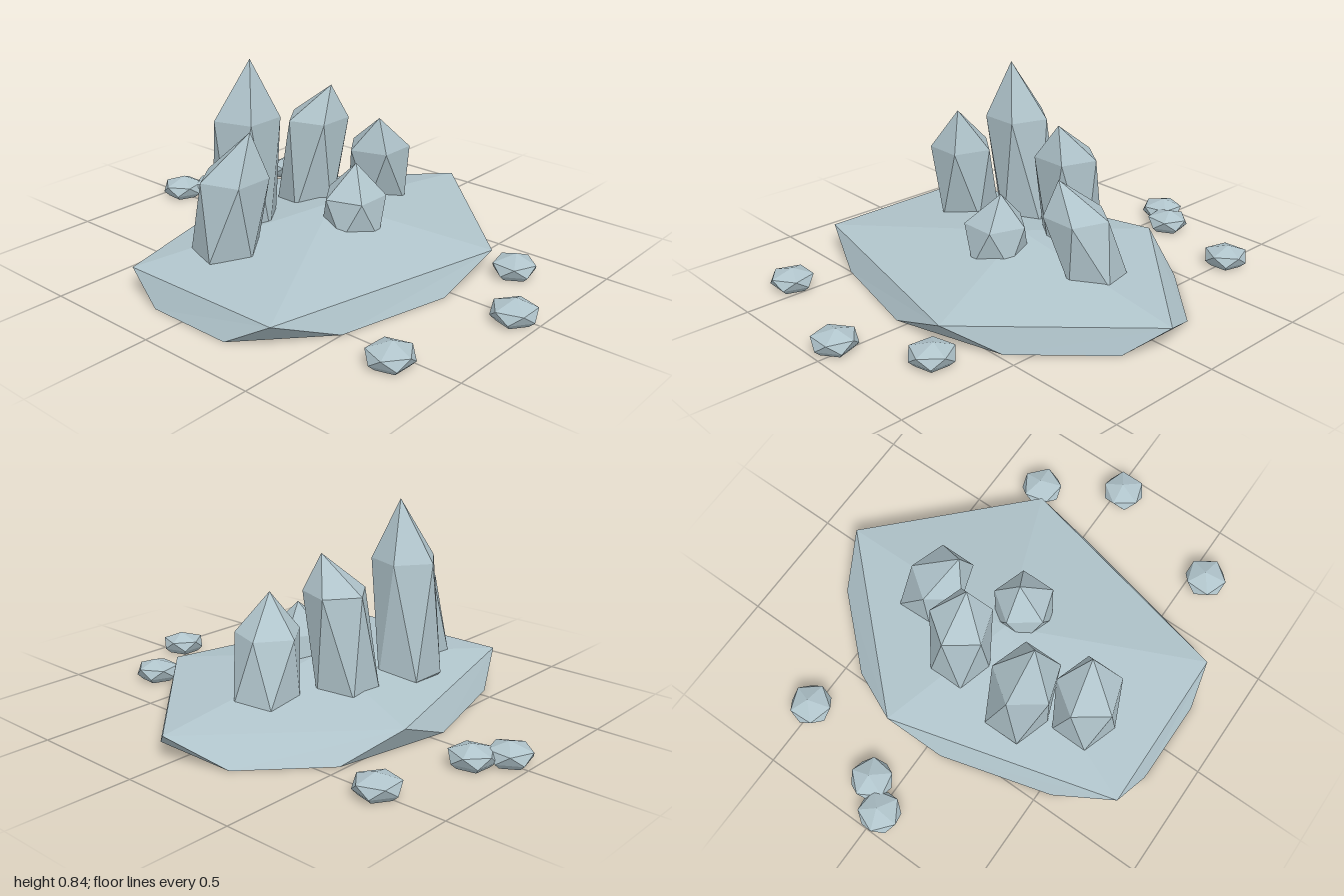
import * as THREE from 'three';

const stone = new THREE.MeshStandardMaterial({ color: 0xb0c4cb, flatShading: true, side: THREE.DoubleSide });
stone.name = 'pale stone';
const teal = new THREE.MeshStandardMaterial({ color: 0x07606c, flatShading: true });
teal.name = 'dark teal';

// Faceted mesh from a list of triangles, each three [x, y, z] points
function facetMesh(name, tris) {
  const geo = new THREE.BufferGeometry();
  geo.setAttribute('position', new THREE.Float32BufferAttribute(tris.flat(2), 3));
  geo.computeVertexNormals();
  const mesh = new THREE.Mesh(geo, stone);
  mesh.name = name;
  return mesh;
}

// Five-sided ring, turned by a number of degrees
function ring([x, y, z], r, deg) {
  return Array.from({ length: 5 }, (_, i) => {
    const t = THREE.MathUtils.degToRad(deg + i * 72);
    return [x + r * Math.cos(t), y, z + r * Math.sin(t)];
  });
}

// Stretched twenty-sided stone, open where its lower end is cut off
function shard(name, { tip, upper, lower, foot, r, footR, turn }) {
  const u = ring(upper, r, turn);
  const l = ring(lower, r, turn + 36);
  const f = ring(foot, footR, turn + 36);
  const tris = [];
  for (let i = 0; i < 5; i++) {
    const j = (i + 1) % 5;
    tris.push(
      [tip, u[j], u[i]],
      [u[i], u[j], l[i]], [u[j], l[j], l[i]],
      [l[i], l[j], f[i]], [l[j], f[j], f[i]]
    );
  }
  return facetMesh(name, tris);
}

// Wide hollow slab: low peak, five rim corners, ten ground corners
function slab() {
  const tip = [0, 0.21, 0];
  const rim = [[0.83, 0.02], [0.24, 0.63], [-0.78, 0.4], [-0.79, -0.32], [0.19, -0.59]]
    .map(([x, z]) => [x, 0.103, z]);
  const ground = [
    [0.72, 0.17], [0.42, 0.48], [-0.05, 0.61], [-0.52, 0.5], [-0.83, 0.22],
    [-0.83, -0.15], [-0.55, -0.44], [-0.07, -0.575], [0.43, -0.48], [0.72, -0.21],
  ].map(([x, z]) => [x, 0, z]);
  const tris = [];
  for (let i = 0; i < 5; i++) {
    const a = rim[i], b = rim[(i + 1) % 5];
    const p = ground[2 * i], q = ground[2 * i + 1], before = ground[(2 * i + 9) % 10];
    tris.push([tip, b, a], [a, b, q], [a, q, p], [a, p, before]);
  }
  return facetMesh('baseSlab', tris);
}

export function createModel() {
  const model = new THREE.Group();
  model.name = 'crystalCluster';
  model.add(slab());

  // Crystals: tip, shoulder centre, lower centre [x, z], radius
  const crystals = [
    ['tallCrystal', [-0.265, 0.84, -0.19], [-0.26, 0.6, -0.225], [-0.24, -0.26], 0.138, 54],
    ['backCrystal', [0.11, 0.67, -0.1], [0.095, 0.525, -0.165], [0.085, -0.21], 0.132, 54],
    ['leaningLeftCrystal', [-0.43, 0.62, -0.03], [-0.47, 0.44, -0.085], [-0.485, -0.12], 0.138, 54],
    ['leaningRightCrystal', [0.255, 0.52, 0.04], [0.31, 0.375, -0.01], [0.37, -0.045], 0.135, 54],
    ['frontCrystal', [0.01, 0.41, 0.12], [-0.01, 0.285, 0.125], [-0.01, 0.125], 0.13, 54],
  ];
  for (const [name, tip, upper, [x, z], r, turn] of crystals) {
    model.add(shard(name, {
      tip, upper, r, turn, lower: [x, 0.13, z], foot: [x, 0.04, z], footR: 0.065,
    }));
  }

  // Loose pebbles around the slab
  const pebbles = [
    [-0.565, 0.755, 20], [-0.03, 0.905, 54], [0.29, 0.705, 5],
    [-0.01, -0.915, 40], [0.1, -0.825, 60], [0.51, -0.72, 15],
  ];
  pebbles.forEach(([x, z, turn], i) => {
    model.add(shard('pebble' + (i + 1), {
      tip: [x + 0.01, 0.092, z], upper: [x, 0.06, z], lower: [x, 0.022, z],
      foot: [x, 0, z], r: 0.089, footR: 0.065, turn,
    }));
  });

  // Narrow bar hidden under the slab
  const bar = new THREE.Mesh(new THREE.BoxGeometry(0.62, 0.035, 0.09), teal);
  bar.name = 'hiddenBar';
  bar.position.set(-0.05, 0.075, 0.3);
  bar.rotation.y = 0.2;
  model.add(bar);

  return model;
}
